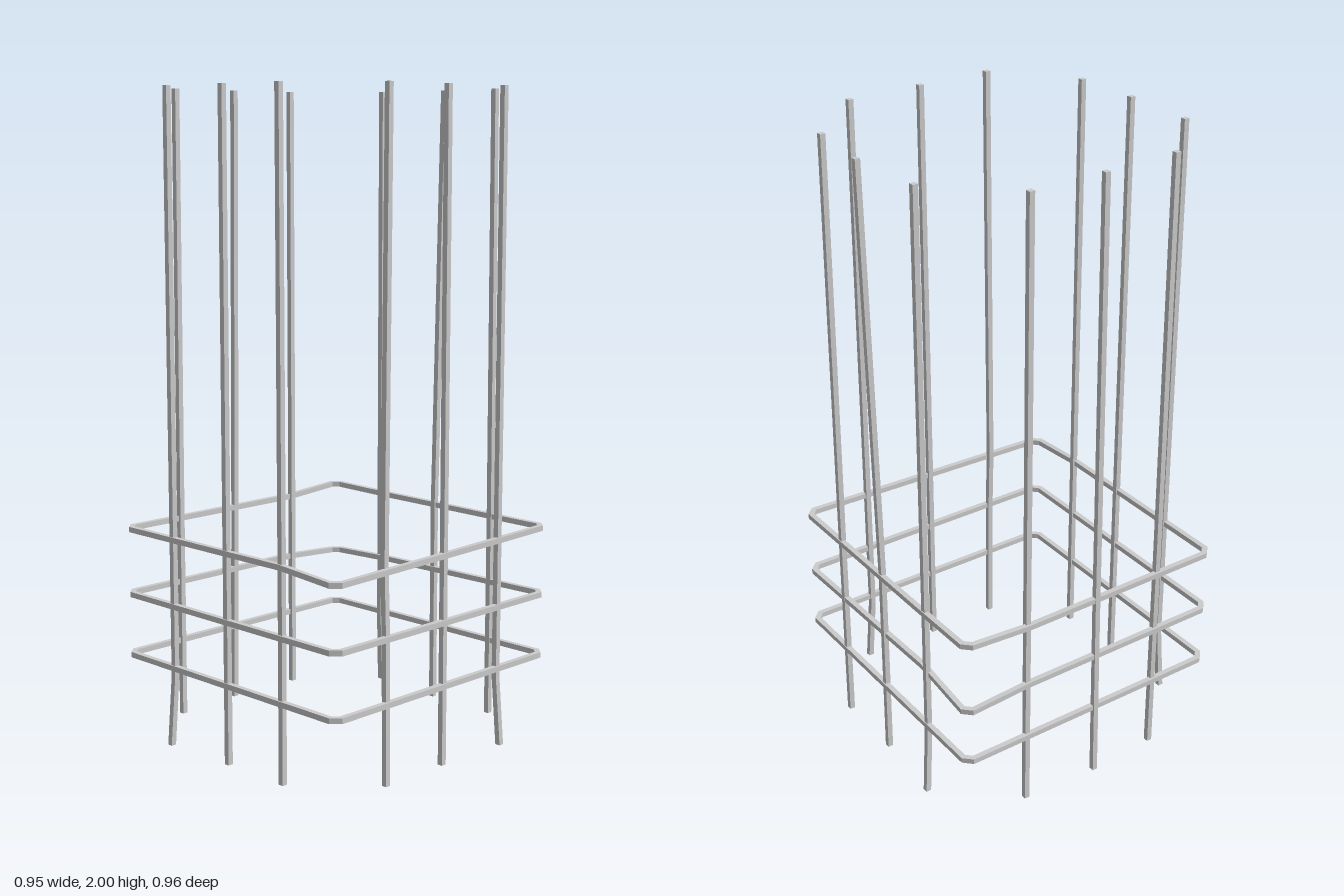
import * as THREE from 'three';

const steel = new THREE.MeshStandardMaterial({ color: 0xcccccc, flatShading: true });
const HALF = 0.0085; // half thickness of every rod

// Skins a list of four-cornered sections (counterclockwise about the path)
function skin(sections, closed) {
  const pos = [];
  const tri = (...v) => v.forEach(p => pos.push(p.x, p.y, p.z));
  const n = sections.length;
  for (let i = 0; i < (closed ? n : n - 1); i++) {
    const s = sections[i], e = sections[(i + 1) % n];
    for (let j = 0; j < 4; j++) {
      const k = (j + 1) % 4;
      tri(s[j], s[k], e[k]);
      tri(s[j], e[k], e[j]);
    }
  }
  if (!closed) {
    const s = sections[0], e = sections[n - 1];
    tri(s[0], s[2], s[1]); tri(s[0], s[3], s[2]);
    tri(e[0], e[1], e[2]); tri(e[0], e[2], e[3]);
  }
  const g = new THREE.BufferGeometry();
  g.setAttribute('position', new THREE.Float32BufferAttribute(pos, 3));
  g.computeVertexNormals();
  return g;
}

const SQUARE = [[1, 1], [1, -1], [-1, -1], [-1, 1]];

// Upright rod through [x, y, z] points, listed from bottom to top
function bar(points) {
  return skin(points.map(([x, y, z]) =>
    SQUARE.map(([a, b]) => new THREE.Vector3(x + a * HALF, y, z + b * HALF))), false);
}

// Closed rod with mitred bends, running front right, front left, back left, back right
function hoop(points) {
  const P = points.map(p => new THREE.Vector3(...p)), n = P.length;
  const up = new THREE.Vector3(0, 1, 0);
  const side = (a, b) => up.clone().cross(b.clone().sub(a).setY(0).normalize());
  return skin(P.map((p, i) => {
    const before = side(P[(i + n - 1) % n], p), after = side(p, P[(i + 1) % n]);
    const out = before.clone().add(after).normalize();
    out.multiplyScalar(HALF / out.dot(after));
    return [[1, -1], [1, 1], [-1, 1], [-1, -1]].map(([a, b]) =>
      p.clone().addScaledVector(out, a).addScaledVector(up, b * HALF));
  }), true);
}

// Hoop path: base height y, corner offsets (fr, fl, bl, br), mid-back inward bow
function hoopPath(y, { fr = 0, fl = 0, bl = 0, br = 0, back = 0, bow = 0 } = {}) {
  const X = 0.46, F = 0.465, B = -0.453, c = 0.022;
  return [
    [X, y + fr, F - c], [X - c, y + fr, F],
    [0.24, y, F],
    [-X + c, y + fl, F], [-X, y + fl, F - c],
    [-X, y, -0.23],
    [-X, y + bl, B + c], [-X + c, y + bl, B],
    [-0.2, y + back, B + bow],
    [X - c, y + br, B], [X, y + br, B + c],
    [X, y, -0.23],
  ];
}

export function createModel() {
  const cage = new THREE.Group();
  cage.name = 'reinforcementCage';
  const add = (name, geometry) => {
    const mesh = new THREE.Mesh(geometry, steel);
    mesh.name = name;
    cage.add(mesh);
  };

  // Three tie hoops; the upper two are slightly warped
  add('lowerHoop', hoop(hoopPath(0.245)));
  add('middleHoop', hoop(hoopPath(0.44, { bl: -0.012, bow: 0.014 })));
  add('upperHoop', hoop(hoopPath(0.648, { fr: -0.015, bl: 0.014, br: 0.005, back: 0.01 })));

  // Twelve upright bars, three on each side, some bent at the foot or head
  const bars = {
    backBar: [
      [[-0.25, 0, -0.466], [-0.24, 0.22, -0.45], [-0.24, 2, -0.45]],
      [[0.004, 0, -0.449], [0.004, 0.65, -0.449], [0.01, 2, -0.474]],
      [[0.244, 0, -0.45], [0.244, 0.65, -0.45], [0.238, 2, -0.45]],
    ],
    leftBar: [
      [[0.464, 0, -0.244], [0.455, 0.22, -0.232], [0.455, 2, -0.232]],
      [[0.455, 0, 0.013], [0.455, 2, 0.013]],
      [[0.455, 0, 0.255], [0.452, 0.44, 0.255], [0.445, 0.65, 0.255], [0.455, 2, 0.255]],
    ],
    rightBar: [
      [[-0.452, 0, -0.232], [-0.452, 2, -0.232]],
      [[-0.467, 0, 0.022], [-0.461, 0.65, 0.018], [-0.452, 2, 0.013]],
      [[-0.453, 0, 0.256], [-0.453, 0.65, 0.256], [-0.441, 2, 0.262]],
    ],
    frontBar: [
      [[-0.247, 0, 0.474], [-0.24, 0.22, 0.462], [-0.24, 2, 0.462]],
      [[0.004, 0, 0.462], [0.004, 2, 0.462]],
      [[0.238, 0, 0.46], [0.238, 0.65, 0.46], [0.222, 2, 0.447]],
    ],
  };
  for (const [name, list] of Object.entries(bars))
    list.forEach((points, i) => add(name + (i + 1), bar(points)));

  return cage;
}
